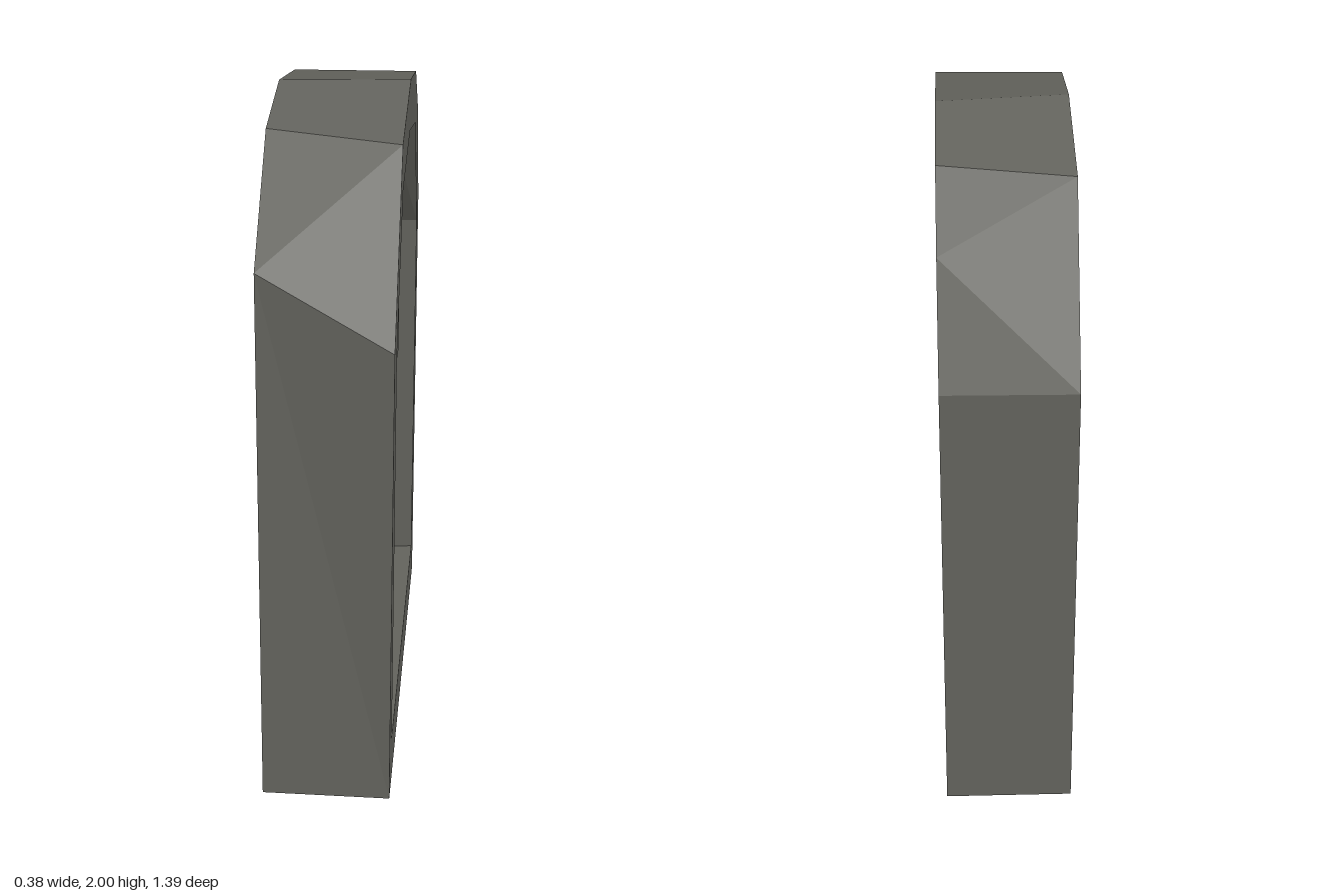
import * as THREE from 'three';

const HALF = 0.19;   // half the slab thickness
const FLOOR = 0.11;  // x of the recessed panel

// Outlines as [z, y], counter-clockwise seen from +x
const carvedFace = [[0.7, 0], [-0.695, 0], [-0.68, 1.43], [-0.54, 1.77], [-0.34, 1.945], [-0.02, 2], [0.4, 1.925], [0.685, 1.43]];
const plainFace = [[0.7, 0], [-0.695, 0], [-0.685, 1.43], [-0.39, 1.93], [0.02, 2], [0.34, 1.945], [0.645, 1.635]];
const recessRim = [[0.6, 0.145], [-0.595, 0.145], [-0.58, 1.385], [-0.375, 1.775], [0, 1.853], [0.36, 1.787], [0.582, 1.385]];
const recessFloor = [[0.6, 0.145], [-0.585, 0.145], [-0.573, 1.385], [-0.353, 1.775], [-0.01, 1.847], [0.35, 1.773], [0.578, 1.385]];

// Pairs of corner numbers (carved, plain) that step round the uneven edge
const edgeSteps = [[0, 0], [1, 1], [2, 2], [3, 2], [3, 3], [4, 3], [5, 4], [6, 5], [6, 6], [7, 6], [0, 0]];

// Flat face at a given x, looking along side (+1 or -1)
function face(outline, x, side, hole) {
  const points = (list) => list.map(([z, y]) => new THREE.Vector2(-side * z, y));
  const shape = new THREE.Shape(points(outline));
  if (hole) shape.holes.push(new THREE.Path(points(hole)));
  return new THREE.ShapeGeometry(shape).rotateY(side * Math.PI / 2).translate(x, 0, 0);
}

// Band of triangles joining outline a (at x = xa) to outline b (at x = xb)
function band(a, xa, b, xb, steps) {
  const pos = [];
  const addA = (i) => pos.push(xa, a[i][1], a[i][0]);
  const addB = (i) => pos.push(xb, b[i][1], b[i][0]);
  for (let k = 0; k < steps.length - 1; k++) {
    const [a0, b0] = steps[k];
    const [a1, b1] = steps[k + 1];
    if (a0 !== a1) { addA(a0); addB(b0); addA(a1); }
    if (b0 !== b1) { addB(b0); addB(b1); addA(a1); }
  }
  const geometry = new THREE.BufferGeometry();
  geometry.setAttribute('position', new THREE.Float32BufferAttribute(pos, 3));
  geometry.computeVertexNormals();
  return geometry;
}

export function createModel() {
  const stone = new THREE.MeshStandardMaterial({ color: 0x63635d });
  stone.name = 'stone';
  stone.flatShading = true;

  const group = new THREE.Group();
  group.name = 'headstone';
  const add = (name, geometry) => {
    const mesh = new THREE.Mesh(geometry, stone);
    mesh.name = name;
    group.add(mesh);
    return mesh;
  };

  // Slab
  add('carvedBorder', face(carvedFace, HALF, 1, recessRim));
  add('plainBack', face(plainFace, -HALF, -1));
  add('slabEdge', band(carvedFace, HALF, plainFace, -HALF, edgeSteps));

  // Recessed panel and its inward-facing walls
  const rimSteps = [0, 1, 2, 3, 4, 5, 6, 0].map((i) => [i, i]);
  add('recessWalls', band(recessFloor, FLOOR, recessRim, HALF, rimSteps));
  add('recessPanel', face(recessFloor, FLOOR, 1));

  // Raised plaque
  add('plaque', new THREE.BoxGeometry(0.05, 0.38, 0.89)).position.set(FLOOR + 0.007, 1.165, 0);

  return group;
}
